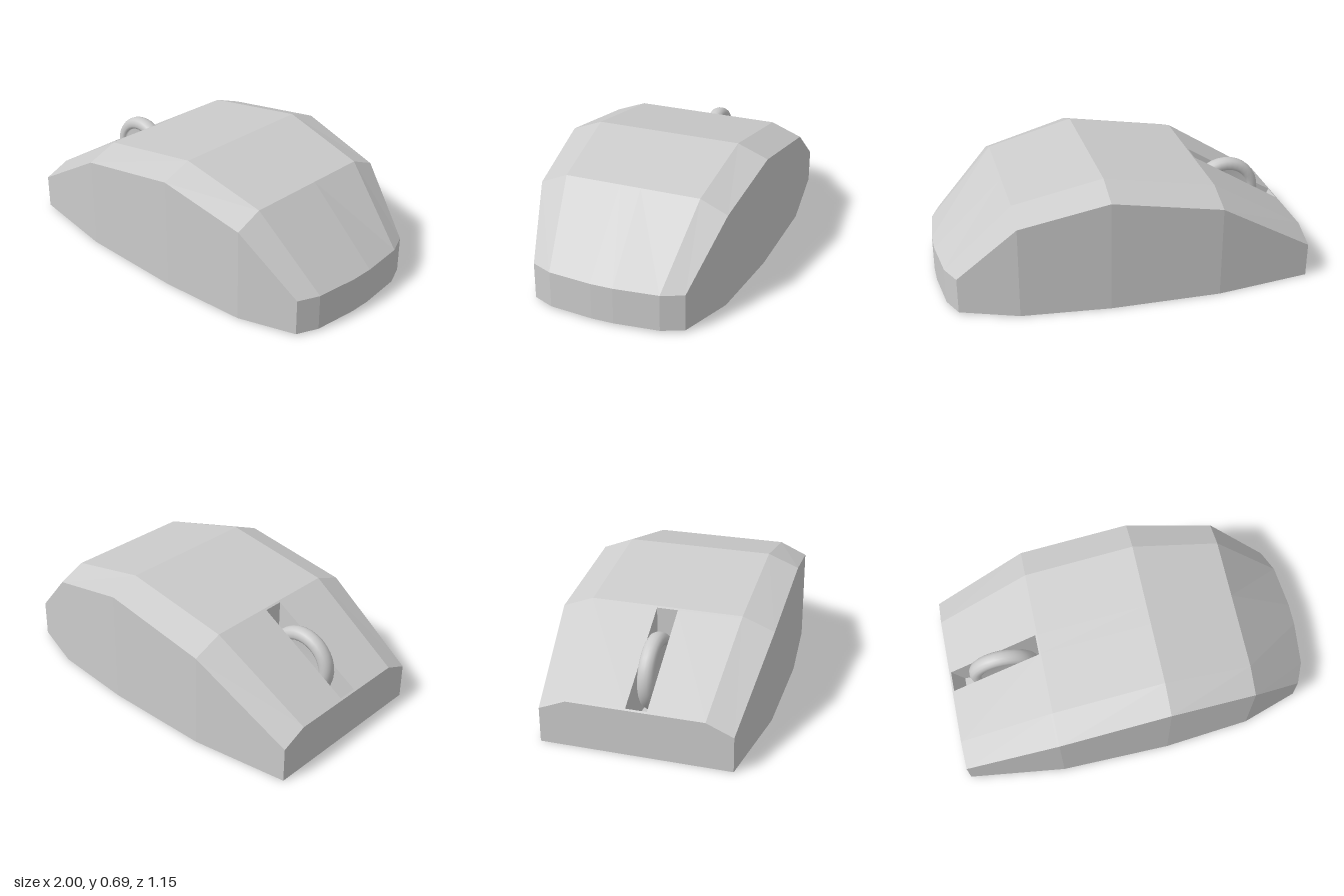
import * as THREE from 'three';

const material = new THREE.MeshStandardMaterial({ color: 0xcccccc, flatShading: true });
const smooth = new THREE.MeshStandardMaterial({ color: 0xcccccc, side: THREE.DoubleSide });

const SLOT = { z0: -0.048, z1: 0.064, front: -0.99, back: -0.48, floor: 0.11 };

// Flat-shaded mesh from convex polygons with counter-clockwise corners
function polygonMesh(name, polygons) {
  const positions = [];
  for (const p of polygons) {
    for (let i = 1; i < p.length - 1; i++) positions.push(...p[0], ...p[i], ...p[i + 1]);
  }
  const geometry = new THREE.BufferGeometry();
  geometry.setAttribute('position', new THREE.Float32BufferAttribute(positions, 3));
  geometry.computeVertexNormals();
  const mesh = new THREE.Mesh(geometry, material);
  mesh.name = name;
  return mesh;
}

// Cross-section: up the +z side, over the top, down the -z side
function ring([x, w, wt, ys, yt]) {
  return [
    [x, 0, w], [x, ys, w], [x, yt, wt], [x, yt, SLOT.z1],
    [x, yt, SLOT.z0], [x, yt, -wt], [x, ys, -w], [x, 0, -w],
  ];
}

function createBody() {
  // x, half width, half width of top, side height, top height
  const nose = [-1, 0.505, 0.362, 0.19, 0.25];
  const shoulder = [-0.47, 0.573, 0.405, 0.515, 0.58];
  const between = (x) => {
    const t = (x - nose[0]) / (shoulder[0] - nose[0]);
    return nose.map((v, i) => THREE.MathUtils.lerp(v, shoulder[i], t));
  };
  const rings = [
    nose, between(SLOT.front), between(SLOT.back), shoulder,
    [0.135, 0.565, 0.4, 0.625, 0.69],
    [0.615, 0.517, 0.37, 0.515, 0.58],
  ].map(ring);

  // Curved rear edge
  const rear = [[0.925, 0.415], [0.975, 0.3], [1, 0.06], [1, -0.06], [0.975, -0.3], [0.925, -0.415]];
  const rearTop = rear.map(([x, z]) => [x, 0.21, z]);
  const rearBottom = rear.map(([x, z]) => [x, 0.01, z]);
  rings.push([rearBottom[0], ...rearTop, rearBottom[5]]);

  const faces = [rings[0], [...rearBottom].reverse()];
  for (let s = 0; s < rings.length - 1; s++) {
    for (let j = 0; j < 8; j++) {
      if (s === 1 && j === 3) continue; // wheel slot opening
      const k = (j + 1) % 8;
      faces.push([rings[s][j], rings[s + 1][j], rings[s + 1][k], rings[s][k]]);
    }
  }
  for (let j = 0; j < 5; j++) {
    faces.push([rearBottom[j], rearBottom[j + 1], rearTop[j + 1], rearTop[j]]);
  }

  // Slot pocket: outline in x, y, swept between the two slot sides
  const outline = [
    rings[1][3].slice(0, 2), [-0.93, SLOT.floor],
    [SLOT.back, SLOT.floor], rings[2][3].slice(0, 2),
  ];
  const near = outline.map(([x, y]) => [x, y, SLOT.z1]);
  const far = outline.map(([x, y]) => [x, y, SLOT.z0]);
  const pocket = [far, [...near].reverse()];
  for (let i = 0; i < 3; i++) pocket.push([near[i], near[i + 1], far[i + 1], far[i]]);

  return [polygonMesh('body', faces), polygonMesh('wheelSlot', pocket)];
}

// Scroll wheel with a rounded tread and recessed sides
function createWheel() {
  const half = [[0, 0.022], [0.135, 0.022], [0.14, 0.036], [0.155, 0.043], [0.175, 0.041], [0.19, 0.032], [0.198, 0.016]];
  const profile = [
    ...half.map(([r, h]) => new THREE.Vector2(r, -h)),
    new THREE.Vector2(0.2, 0),
    ...half.map(([r, h]) => new THREE.Vector2(r, h)).reverse(),
  ];
  const wheel = new THREE.Mesh(new THREE.LatheGeometry(profile, 32), smooth);
  wheel.name = 'scrollWheel';
  wheel.rotation.x = Math.PI / 2;
  wheel.position.set(-0.685, 0.32, 0.01);
  return wheel;
}

export function createModel() {
  const model = new THREE.Group();
  model.name = 'computerMouse';
  model.add(...createBody(), createWheel());
  return model;
}
